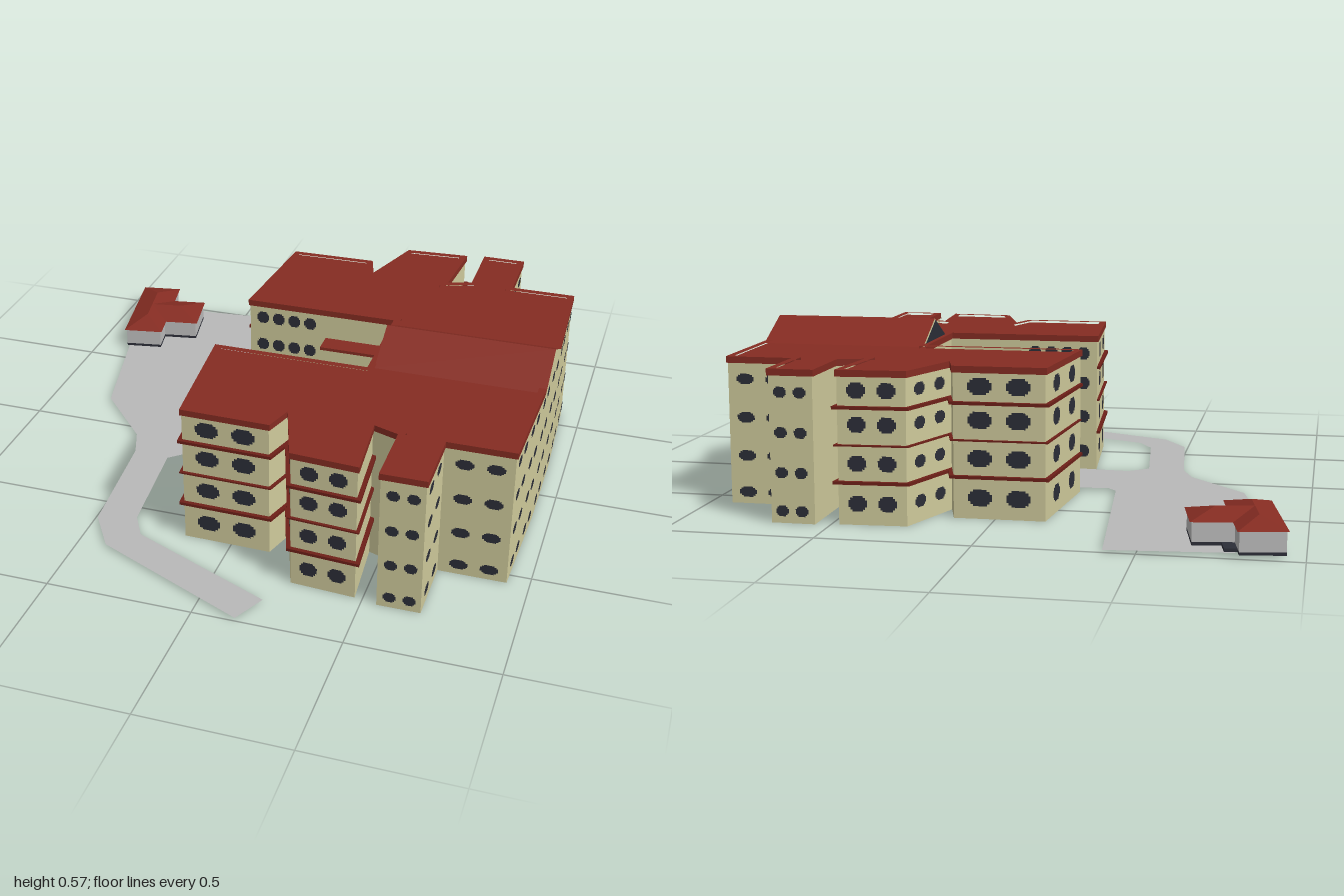
import * as THREE from 'three';
import { mergeGeometries } from 'three/addons/utils/BufferGeometryUtils.js';
import { ConvexGeometry } from 'three/addons/geometries/ConvexGeometry.js';

const mat = (name, color, side = THREE.FrontSide) => {
  const m = new THREE.MeshStandardMaterial({ color, side });
  m.name = name;
  return m;
};

const AXIS = -0.025; // mirror line of the building in z

// Half footprint: [x, distance from the mirror line], from the court round to the back
const HALF = [
  [0.34, 0.182], [-0.21, 0.182], [-0.17, 0.64], [0.14, 0.645], [0.17, 0.545],
  [0.25, 0.785], [0.48, 0.8], [0.46, 0.545], [0.545, 0.575], [0.545, 0.815],
  [0.7, 0.815], [0.7, 0.575], [0.93, 0.575], [0.945, 0.17],
];
const mirrored = (pts, s) => pts.map(([x, d]) => [x, AXIS + s * d]);

// Moves every edge of an [x, z] outline outward by d
function grow(pts, d) {
  const n = pts.length;
  let area = 0;
  pts.forEach(([x, z], i) => {
    const [u, v] = pts[(i + 1) % n];
    area += x * v - u * z;
  });
  const s = Math.sign(area) * d;
  const normal = (a, b) => {
    const l = Math.hypot(b[0] - a[0], b[1] - a[1]);
    return [(b[1] - a[1]) / l, -(b[0] - a[0]) / l];
  };
  return pts.map((p, i) => {
    const a = normal(pts[(i + n - 1) % n], p);
    const b = normal(p, pts[(i + 1) % n]);
    const k = s / (1 + a[0] * b[0] + a[1] * b[1]);
    return [p[0] + (a[0] + b[0]) * k, p[1] + (a[1] + b[1]) * k];
  });
}

const toPath = (pts) => pts.map(([x, z]) => new THREE.Vector2(x, -z));

// Upright slab from an [x, z] outline between two heights
function slab(pts, y0, y1, hole) {
  const shape = new THREE.Shape(toPath(pts));
  if (hole) shape.holes.push(new THREE.Path(toPath(hole)));
  return new THREE.ExtrudeGeometry(shape, { depth: y1 - y0, bevelEnabled: false })
    .rotateX(-Math.PI / 2).translate(0, y0, 0);
}

// Window pane with stepped corners
function pane(w, h) {
  const q = [[0.5, 0.22], [0.4, 0.22], [0.4, 0.38], [0.28, 0.38], [0.28, 0.5]];
  const r = [...q].reverse();
  const all = [
    ...q, ...r.map(([x, y]) => [-x, y]),
    ...q.map(([x, y]) => [-x, -y]), ...r.map(([x, y]) => [x, -y]),
  ];
  return new THREE.ShapeGeometry(new THREE.Shape(all.map(([x, y]) => new THREE.Vector2(x * w, y * h))));
}

// Rows of panes on the wall a-b; flip turns the outward side round
function panes(a, b, ts, w, h, levels, flip = 1) {
  const dx = b[0] - a[0], dz = b[1] - a[1], l = Math.hypot(dx, dz);
  const nx = (flip * dz) / l, nz = (-flip * dx) / l;
  return ts.flatMap((t) => levels.map((y) => pane(w, h)
    .rotateY(Math.atan2(nx, nz))
    .translate(a[0] + dx * t + nx * 0.003, y, a[1] + dz * t + nz * 0.003)));
}

export function createModel() {
  const model = new THREE.Group();
  const wall = mat('cream wall', 0xd0cb9c);
  const roof = mat('red roof', 0x852c22);
  const trim = mat('dark red trim', 0x6e2018);
  const glass = mat('dark glass', 0x2c2e38);
  const road = mat('grey paving', 0xb8b8b8, THREE.DoubleSide);
  const hutWall = mat('pale grey wall', 0xbdbdbd);
  const add = (name, geo, m, parent = model) => {
    const mesh = new THREE.Mesh(geo, m);
    mesh.name = name;
    parent.add(mesh);
    return mesh;
  };

  // Main block, roof deck and parapet
  const outline = [...mirrored(HALF, -1), ...mirrored(HALF, 1).reverse()];
  const walls = grow(outline, -0.005);
  add('walls', slab(walls, 0, 0.48), wall);
  add('roofDeck', slab(grow(outline, -0.01), 0.478, 0.491), roof);
  add('parapet', slab(outline, 0.478, 0.5, grow(outline, -0.024)), roof);

  // Gabled roof over the middle, glazed towards the court
  const tri = (w, h) => new THREE.Shape([
    new THREE.Vector2(-w, 0), new THREE.Vector2(w, 0), new THREE.Vector2(0, h)]);
  add('gableRoof', new THREE.ExtrudeGeometry(tri(0.165, 0.083), { depth: 0.588, bevelEnabled: false })
    .rotateY(Math.PI / 2).translate(0.36, 0.491, AXIS), [wall, roof]);
  add('gableGlazing', new THREE.ShapeGeometry(tri(0.155, 0.077))
    .rotateY(-Math.PI / 2).translate(0.357, 0.492, AXIS), glass);

  // Storey bands round the front bays of both wings
  const bay = [[0, 0.21], [-0.205, 0.21], ...HALF.slice(2, 8), [0.4, 0.4]];
  for (const s of [-1, 1]) {
    const pts = mirrored(bay, s);
    for (const y of [0.138, 0.38]) add('storeyBand', slab(grow(pts, 0.009), y - 0.005, y + 0.005), trim);
    add('thinBand', slab(grow(pts, 0.006), 0.256, 0.261), trim);
  }

  // Lower gallery round the end of the court
  const gallery = mirrored([
    [0.09, -0.182], [0.345, -0.182], [0.345, 0.182], [0.09, 0.182],
    [0.09, 0.115], [0.3, 0.115], [0.3, -0.115], [0.09, -0.115]], 1);
  add('galleryWalls', slab(gallery, 0, 0.375), wall);
  add('galleryRoof', slab(grow(gallery, 0.004), 0.375, 0.386), roof);

  // Windows: [edge of the half footprint, positions, width, height, levels]
  const bayRows = [0.07, 0.2, 0.325, 0.435];
  const sideRows = [0.04, 0.165, 0.295, 0.425];
  const backRows = [0.055, 0.185, 0.315, 0.44];
  const rows = [
    [0, [0.58, 0.69, 0.8, 0.91], 0.045, 0.045, bayRows],
    [1, [0.28, 0.72], 0.08, 0.055, bayRows],
    [2, [0.29, 0.71], 0.08, 0.055, bayRows],
    [4, [0.28, 0.72], 0.06, 0.04, bayRows],
    [5, [0.28, 0.72], 0.06, 0.05, bayRows],
    [9, [0.29, 0.74], 0.042, 0.035, sideRows],
    [10, [0.25, 0.69], 0.06, 0.032, backRows],
    [11, [0.3, 0.74], 0.06, 0.035, sideRows],
    [12, [0.13, 0.34, 0.61, 0.81], 0.054, 0.032, backRows],
  ];
  const n = HALF.length;
  const all = [];
  for (const [e, ts, w, h, levels] of rows) {
    all.push(...panes(walls[e], walls[e + 1], ts, w, h, levels));
    all.push(...panes(walls[2 * n - 1 - e], walls[2 * n - 2 - e], ts, w, h, levels, -1));
  }
  all.push(...panes(walls[n - 1], walls[n], [0.09, 0.34, 0.66, 0.91], 0.054, 0.032, backRows));
  all.push(...panes([0.3, 0.09], [0.3, -0.14], [0.25, 0.75], 0.06, 0.045, bayRows.slice(0, 3)));
  add('windows', mergeGeometries(all), glass);

  // Paved drive, forecourt and footpath
  const paving = [
    [-0.79, -0.96], [-0.4, -1], [-0.33, -0.21], [-0.3, -0.175], [0.09, -0.205], [0.09, -0.14],
    [0.3, -0.14], [0.3, 0.09], [0.09, 0.09], [0.09, 0.15], [-0.33, 0.12], [-0.4, 0.18],
    [-0.36, 0.57], [-0.31, 0.66], [0.2, 0.88], [0.145, 0.995], [-0.4, 0.75], [-0.49, 0.61],
    [-0.53, 0.17], [-0.57, 0.06], [-0.77, -0.16], [-0.87, -0.6]];
  add('paving', new THREE.ShapeGeometry(new THREE.Shape(toPath(paving)))
    .rotateX(-Math.PI / 2).translate(0, 0.008, 0), road);

  // Small outbuilding with a hipped L-shaped roof
  const hut = new THREE.Group();
  hut.name = 'outbuilding';
  hut.position.set(-0.84, 0, -0.79);
  hut.rotation.y = 0.175;
  model.add(hut);
  const box = (x0, x1, y0, y1, z0, z1) => new THREE.BoxGeometry(x1 - x0, y1 - y0, z1 - z0)
    .translate((x0 + x1) / 2, (y0 + y1) / 2, (z0 + z1) / 2);
  const hip = (x0, x1, z0, z1, ridge) => new ConvexGeometry([
    ...[[x0, z0], [x1, z0], [x1, z1], [x0, z1]].map(([x, z]) => new THREE.Vector3(x, 0.083, z)),
    ...ridge.map(([x, z]) => new THREE.Vector3(x, 0.112, z))]);
  const parts = [[-0.07, 0.07, -0.195, 0.195], [0, 0.2, -0.08, 0.1]];
  for (const [x0, x1, z0, z1] of parts) {
    add('outbuildingWalls', box(x0, x1, 0.02, 0.084, z0, z1), hutWall);
    add('outbuildingPlinth', box(x0, x1, 0.01, 0.02, z0, z1), glass);
  }
  add('outbuildingRoof', hip(-0.077, 0.077, -0.202, 0.202, [[0, -0.1], [0, 0.1]]), roof, hut);
  add('outbuildingWingRoof', hip(-0.02, 0.207, -0.087, 0.107, [[0, 0.01], [0.12, 0.01]]), roof, hut);
  add('outbuildingStep', box(0.07, 0.11, 0.01, 0.02, -0.155, -0.08), glass, hut);
  for (const part of [...model.children]) {
    if (/^outbuilding(Walls|Plinth)/.test(part.name)) hut.add(part);
  }
  return model;
}
